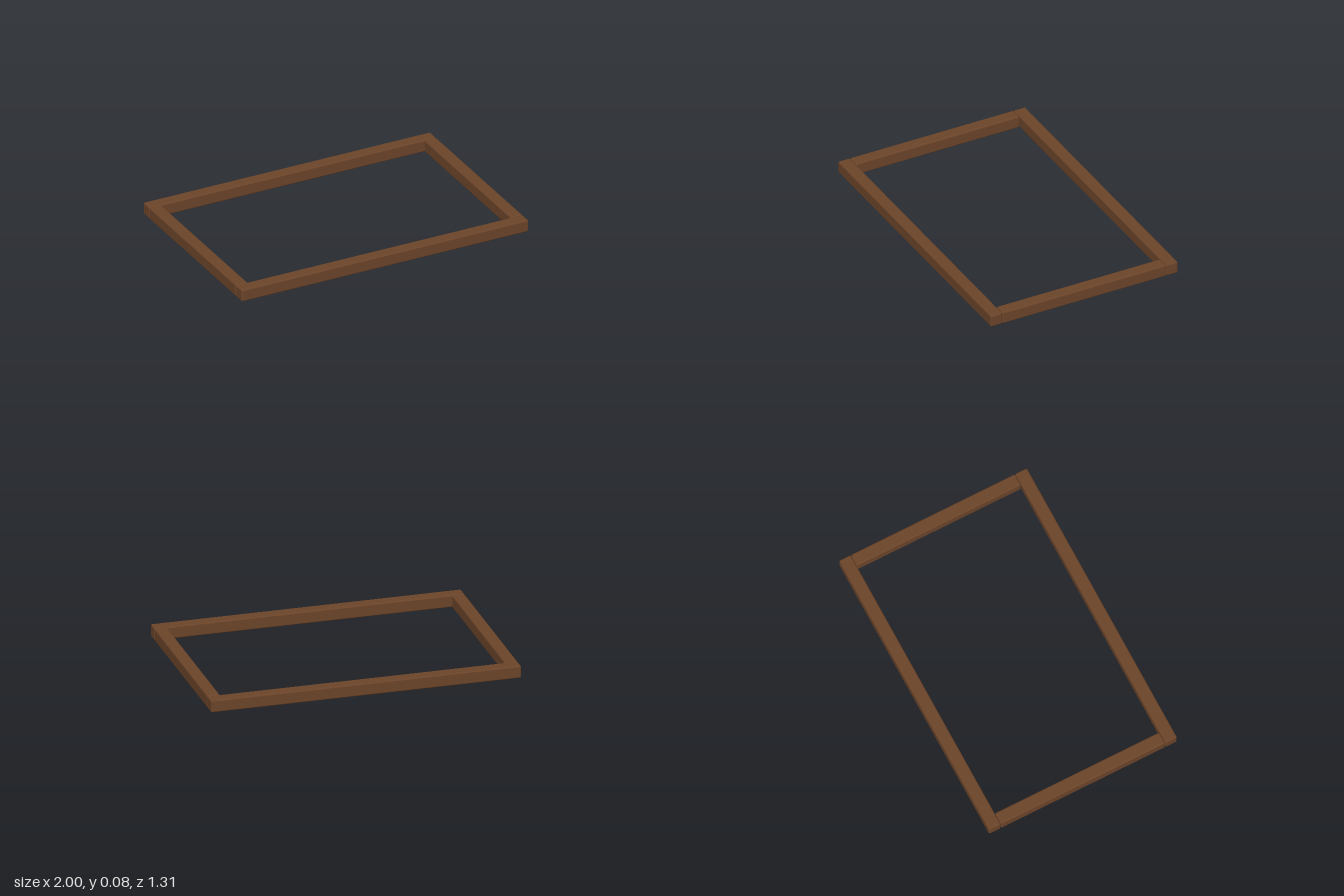
import * as THREE from 'three';
import { RoundedBoxGeometry } from 'three/addons/geometries/RoundedBoxGeometry.js';

export function createModel() {
  const group = new THREE.Group();
  group.name = 'rectangularFrame';
  const wood = new THREE.MeshStandardMaterial({ color: 0x6b4429 });
  wood.name = 'brownWood';

  const halfX = 1, halfZ = 0.656, bar = 0.082, radius = 0.01;

  // One softly rounded bar lying on the ground
  function addBar(name, length, depth, x, z) {
    const geometry = new RoundedBoxGeometry(length, bar, depth, 3, radius);
    const mesh = new THREE.Mesh(geometry, wood);
    mesh.name = name;
    mesh.position.set(x, bar / 2, z);
    group.add(mesh);
  }

  // Long rails run the full width; short rails butt between them
  for (const s of [1, -1]) {
    addBar(s > 0 ? 'frontRail' : 'backRail', 2 * halfX, bar, 0, s * (halfZ - bar / 2));
    addBar(s > 0 ? 'leftRail' : 'rightRail', bar, 2 * (halfZ - bar) - 0.002, s * (halfX - bar / 2), 0);
  }
  return group;
}
